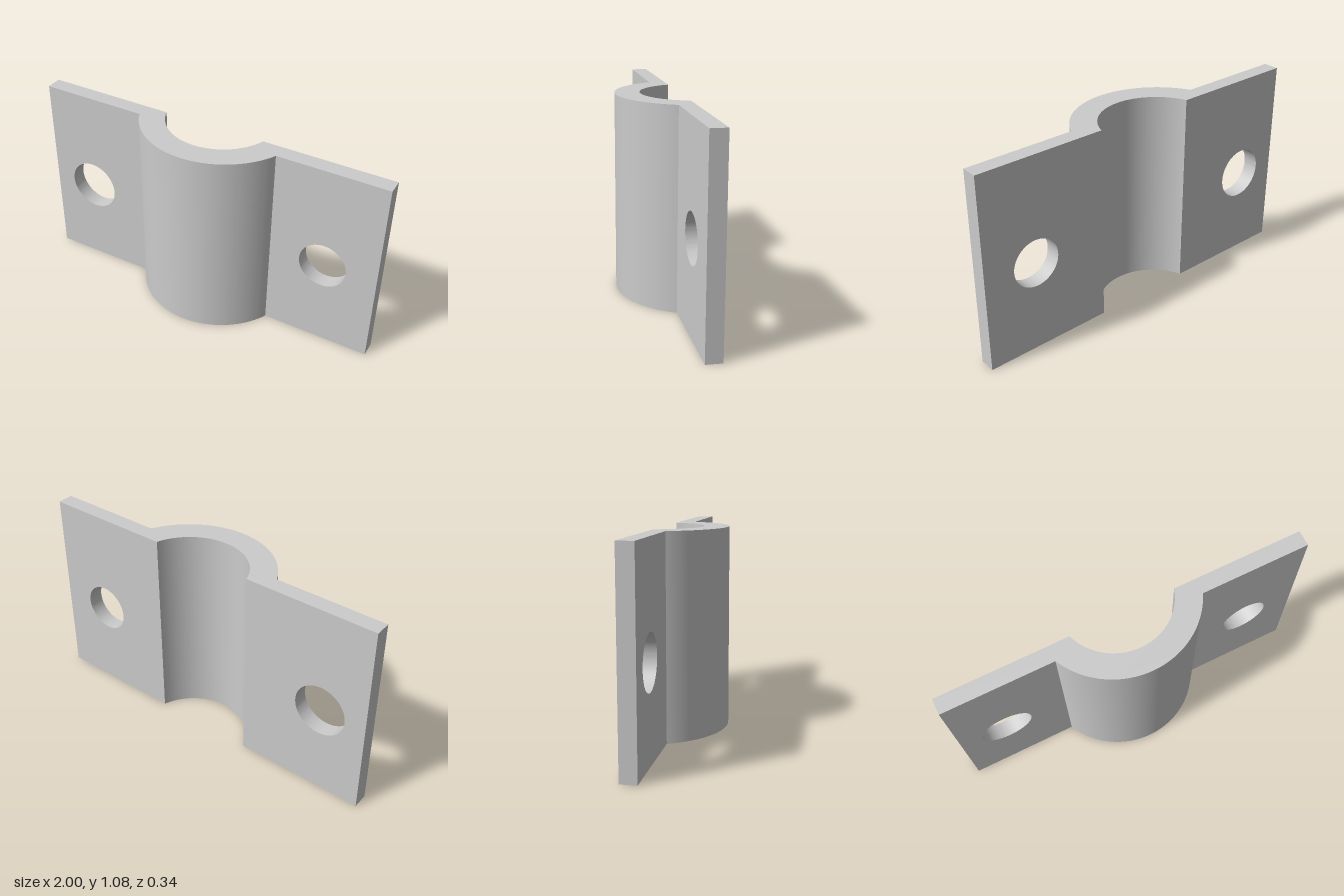
import * as THREE from 'three';
import { toCreasedNormals } from 'three/addons/utils/BufferGeometryUtils.js';

const HEIGHT = 1.08, BACK = -0.17, FRONT = -0.083; // flange faces in z
const JOINT = 0.4; // x where flange meets saddle

// Drops the hidden faces where the parts meet, so they form one skin
function openJoint(geometry) {
  const p = geometry.attributes.position, kept = [];
  for (let i = 0; i < p.count; i += 3) {
    const atJoint = [0, 1, 2].every(k => Math.abs(Math.abs(p.getX(i + k)) - JOINT) < 1e-4);
    if (!atJoint) for (let k = 0; k < 3; k++) kept.push(p.getX(i + k), p.getY(i + k), p.getZ(i + k));
  }
  const result = new THREE.BufferGeometry();
  result.setAttribute('position', new THREE.Float32BufferAttribute(kept, 3));
  return toCreasedNormals(result, 0.5);
}

// Arc through (-halfWidth, y) and (halfWidth, y), bulging towards -y
function arch(shape, halfWidth, y, centreY, leftToRight) {
  const right = Math.atan2(y - centreY, halfWidth), left = -Math.PI - right;
  const radius = Math.hypot(halfWidth, y - centreY);
  shape.absarc(0, centreY, radius, leftToRight ? left : right, leftToRight ? right : left, !leftToRight);
}

// Curved pipe saddle: cross-section (shape y = -z) extruded upwards
function saddleGeometry() {
  const s = new THREE.Shape();
  s.moveTo(-JOINT, -BACK);
  s.lineTo(-JOINT, -FRONT);
  arch(s, JOINT, -FRONT, 0.273, true);
  s.lineTo(JOINT, -BACK);
  s.lineTo(0.285, -BACK);
  arch(s, 0.285, -BACK, 0.263, false);
  s.closePath();
  const g = new THREE.ExtrudeGeometry(s, { depth: HEIGHT, bevelEnabled: false, curveSegments: 48 });
  return openJoint(g.rotateX(-Math.PI / 2));
}

// Flat flange with a round bolt hole
function flangeGeometry(x0, x1, holeX, holeRadius) {
  const s = new THREE.Shape();
  s.moveTo(x0, 0);
  s.lineTo(x1, 0);
  s.lineTo(x1, HEIGHT);
  s.lineTo(x0, HEIGHT);
  s.closePath();
  s.holes.push(new THREE.Path().absarc(holeX, 0.5, holeRadius, 0, Math.PI * 2, true));
  const g = new THREE.ExtrudeGeometry(s, { depth: FRONT - BACK, bevelEnabled: false, curveSegments: 48 });
  return openJoint(g.translate(0, 0, BACK));
}

export function createModel() {
  const group = new THREE.Group();
  group.name = 'pipeClamp';
  const material = new THREE.MeshStandardMaterial({ color: 0xcccccc });
  const add = (name, geometry) => {
    const mesh = new THREE.Mesh(geometry, material);
    mesh.name = name;
    group.add(mesh);
  };
  add('saddle', saddleGeometry());
  add('leftFlange', flangeGeometry(JOINT, 1, 0.702, 0.131));
  add('rightFlange', flangeGeometry(-1, -JOINT, -0.743, 0.143));
  return group;
}
